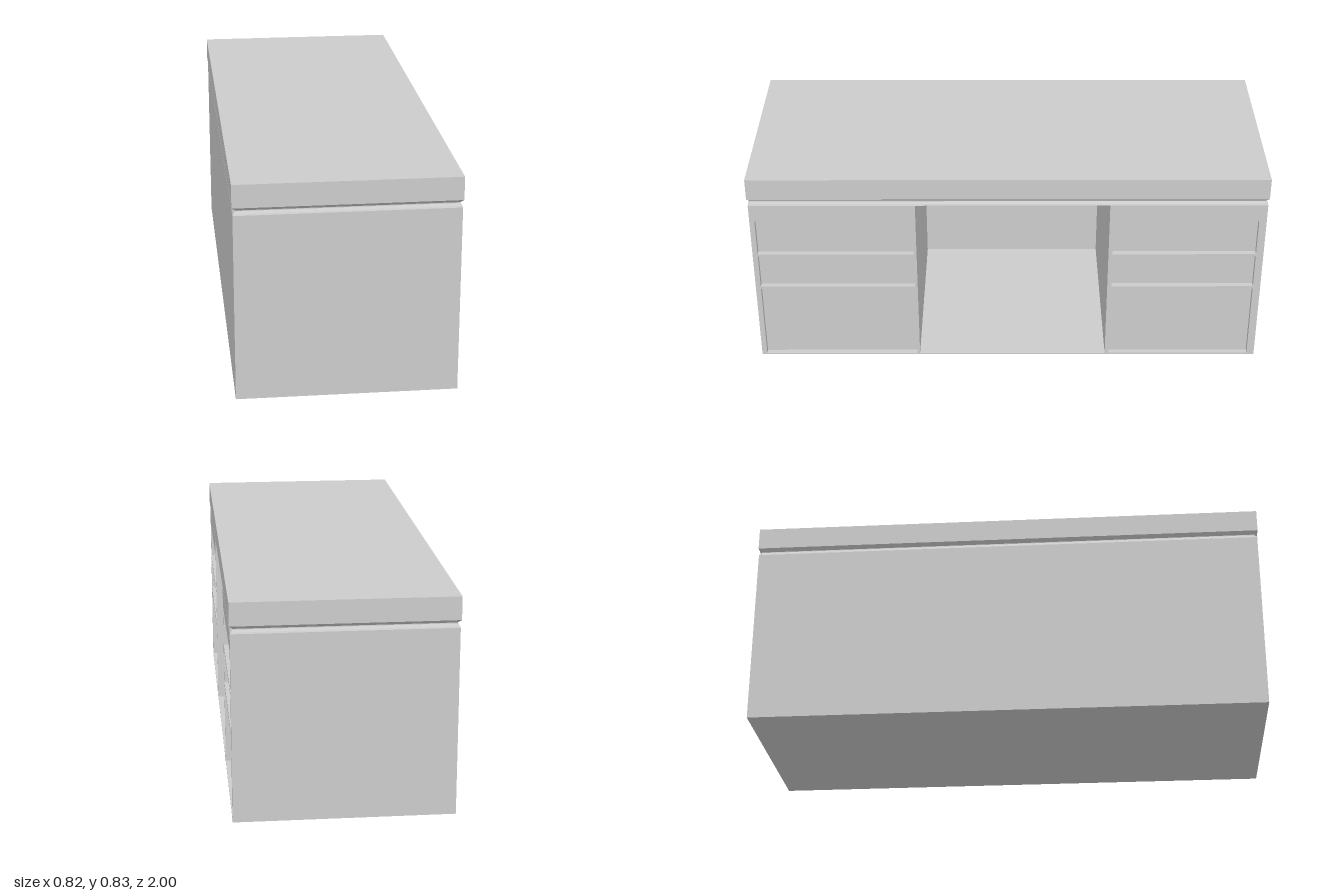
import * as THREE from 'three';

const material = new THREE.MeshStandardMaterial({ color: 0xcccccc, flatShading: true });
const HX = 0.407, HZ = 0.997;        // carcass half width and half length
const FLOOR = 0.005, BODY_TOP = 0.71;
const RECESS = 0.022;                // depth of the drawer pockets
const BACK = -0.36;                  // inner face of the back panel

function add(group, name, geometry) {
  const mesh = new THREE.Mesh(geometry, material);
  mesh.name = name;
  group.add(mesh);
  return mesh;
}

function box(group, name, [x0, x1], [y0, y1], [z0, z1]) {
  const mesh = add(group, name, new THREE.BoxGeometry(x1 - x0, y1 - y0, z1 - z0));
  mesh.position.set((x0 + x1) / 2, (y0 + y1) / 2, (z0 + z1) / 2);
  return mesh;
}

// Solid built from stacked rectangles, each given as [inset, y]
function stackedRectangles(hx, hz, rings) {
  const points = [], index = [];
  for (const [inset, y] of rings) {
    const x = hx - inset, z = hz - inset;
    points.push(x, y, z, x, y, -z, -x, y, -z, -x, y, z);
  }
  for (let r = 0; r < rings.length - 1; r++) {
    for (let i = 0; i < 4; i++) {
      const a = r * 4 + i, b = r * 4 + (i + 1) % 4;
      index.push(a, b, b + 4, a, b + 4, a + 4);
    }
  }
  const t = (rings.length - 1) * 4;
  index.push(0, 2, 1, 0, 3, 2, t, t + 1, t + 2, t, t + 2, t + 3);
  const geometry = new THREE.BufferGeometry();
  geometry.setAttribute('position', new THREE.Float32BufferAttribute(points, 3));
  geometry.setIndex(index);
  const flat = geometry.toNonIndexed();
  flat.computeVertexNormals();
  return flat;
}

function rectangle(path, u0, u1, v0, v1) {
  path.moveTo(u0, v0);
  path.lineTo(u1, v0);
  path.lineTo(u1, v1);
  path.lineTo(u0, v1);
  path.closePath();
  return path;
}

// Pedestal: solid block whose front frame leaves three drawer pockets
function pedestal(name, z0, z1, drawerZ0, drawerZ1) {
  const group = new THREE.Group();
  group.name = name;
  box(group, 'drawerFronts', [BACK, HX - RECESS], [FLOOR, BODY_TOP], [z0, z1]);

  const frame = rectangle(new THREE.Shape(), -z1, -z0, 0.001, BODY_TOP);
  for (const [y0, y1] of [[FLOOR + 0.001, 0.322], [0.334, 0.476], [0.486, 0.638]]) {
    frame.holes.push(rectangle(new THREE.Path(), -drawerZ1, -drawerZ0, y0, y1));
  }
  const face = add(group, 'drawerFrame',
    new THREE.ExtrudeGeometry(frame, { depth: RECESS, bevelEnabled: false }));
  face.rotation.y = Math.PI / 2;
  face.position.x = HX - RECESS;
  return group;
}

export function createModel() {
  const desk = new THREE.Group();
  desk.name = 'desk';

  // Base plate, also the floor of the kneehole
  box(desk, 'basePlate', [-HX, HX], [0, FLOOR], [-HZ, HZ]);

  // Back panel closing the kneehole
  box(desk, 'backPanel', [-HX, BACK], [FLOOR, BODY_TOP], [-HZ, HZ]);

  // Drawer pedestals either side of the kneehole
  desk.add(pedestal('frontPedestal', 0.357, HZ, 0.368, 0.977));
  desk.add(pedestal('rearPedestal', -HZ, -0.392, -0.968, -0.408));

  // Desktop with the shadow groove below it
  add(desk, 'desktop', stackedRectangles(0.41, 1, [
    [0.003, BODY_TOP], [0.006, 0.716], [0.013, 0.724],
    [0.013, 0.727], [0, 0.739], [0, 0.826],
  ]));

  return desk;
}
